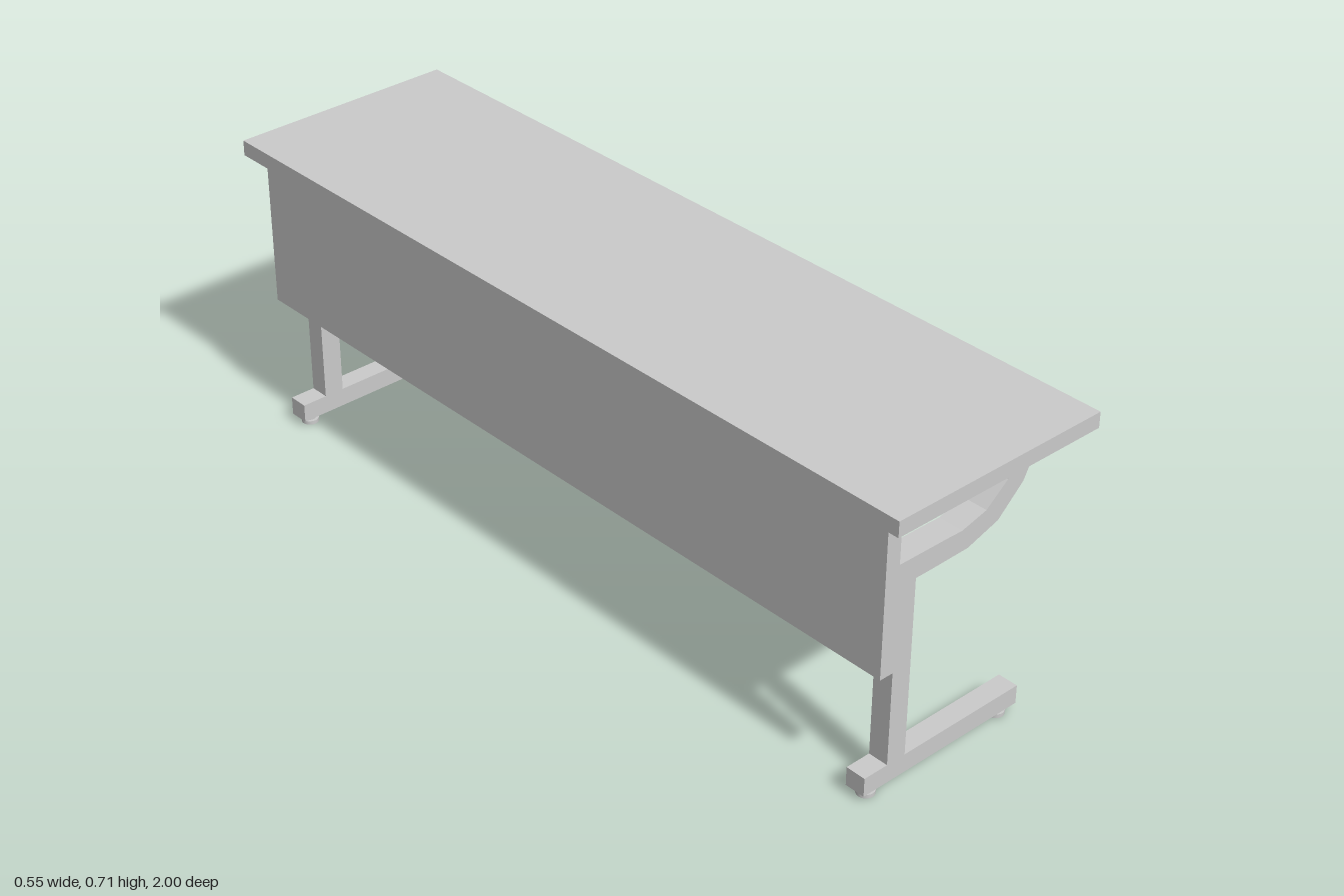
import * as THREE from 'three';

const material = new THREE.MeshStandardMaterial({ color: 0xcccccc, flatShading: true });
const smoothMaterial = new THREE.MeshStandardMaterial({ color: 0xcccccc });

// Box given by its limits on each axis
function box(name, [x0, x1], [y0, y1], [z0, z1]) {
  const mesh = new THREE.Mesh(new THREE.BoxGeometry(x1 - x0, y1 - y0, z1 - z0), material);
  mesh.position.set((x0 + x1) / 2, (y0 + y1) / 2, (z0 + z1) / 2);
  mesh.name = name;
  return mesh;
}

function disc(name, radius, y0, y1, x) {
  const mesh = new THREE.Mesh(new THREE.CylinderGeometry(radius, radius, y1 - y0, 20), smoothMaterial);
  mesh.position.set(x, (y0 + y1) / 2, 0);
  mesh.name = name;
  return mesh;
}

// Curved bracket that carries the top: straight at the back, sweeping up at the front
function supportArm() {
  const outline = [
    [-0.211, 0.489], [-0.1, 0.489], [0, 0.491], [0.082, 0.517], [0.147, 0.577], [0.175, 0.631], [0.178, 0.675],
    [0.127, 0.675], [0.125, 0.635], [0.102, 0.601], [0.046, 0.556], [-0.02, 0.539], [-0.061, 0.54], [-0.211, 0.541],
  ].map(([x, y]) => new THREE.Vector2(x, y));
  const width = 0.059;
  const geometry = new THREE.ExtrudeGeometry(new THREE.Shape(outline), { depth: width, bevelEnabled: false });
  geometry.translate(0, 0, -width / 2);
  const mesh = new THREE.Mesh(geometry, material);
  mesh.name = 'supportArm';
  return mesh;
}

// One end frame: foot bar, upright, arm and two levelling feet
function endFrame(name, z) {
  const frame = new THREE.Group();
  frame.name = name;
  const depth = [-0.024, 0.024];
  frame.add(
    box('footBar', [-0.246, 0.19], [0.02, 0.064], depth),
    box('upright', [-0.184, -0.135], [0.064, 0.489], depth),
    supportArm(),
  );
  for (const x of [-0.215, 0.157]) {
    frame.add(disc('footStem', 0.013, 0.009, 0.02, x), disc('footPad', 0.02, 0, 0.009, x));
  }
  frame.position.z = z;
  return frame;
}

export function createModel() {
  const desk = new THREE.Group();
  desk.name = 'desk';
  desk.add(
    box('tableTop', [-0.273, 0.273], [0.675, 0.711], [-1, 1]),
    box('modestyPanel', [-0.247, -0.211], [0.316, 0.675], [-0.952, 0.952]),
    box('shelf', [-0.211, 0.13], [0.498, 0.523], [-0.845, 0.828]),
    endFrame('frontFrame', 0.902),
    endFrame('backFrame', -0.902),
  );
  return desk;
}
